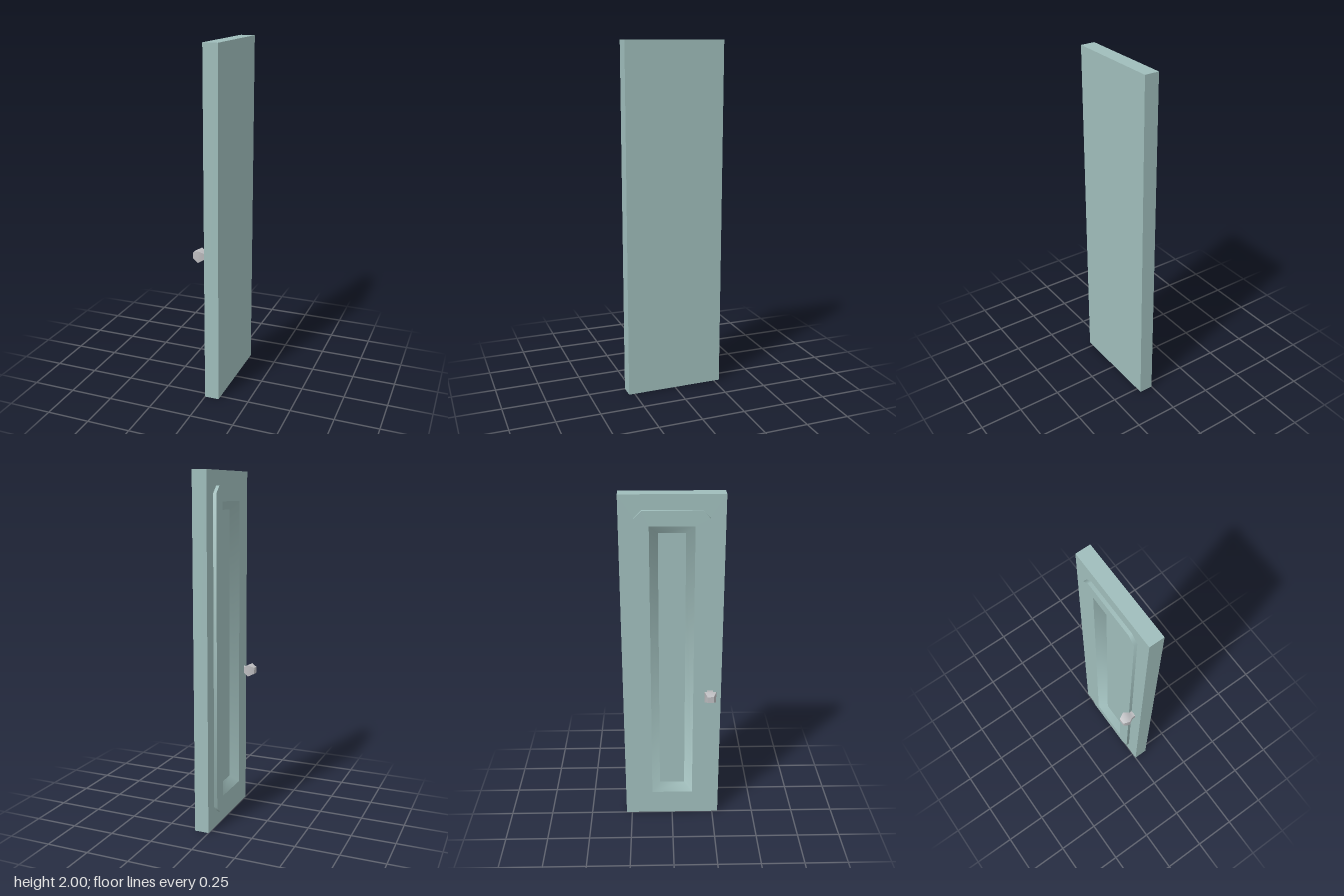
import * as THREE from 'three';

const teal = new THREE.MeshStandardMaterial({ name: 'greyTeal', color: 0x9fbdbb });
const grey = new THREE.MeshStandardMaterial({ name: 'knobGrey', color: 0xbdbdc0 });

const H = 2, D = 0.568, T = 0.083;   // slab height, depth (z) and thickness (x)
const RECESS = 0.023, RAISE = 0.019; // panel floor depth and moulding height
const SLOPE = 0.047;                 // inset of the floor from the moulding's inner lip

// Rectangle with optional cut corners, counter-clockwise, around the middle of the door
function outline(w, h, c) {
  const pts = c
    ? [[-w + c, -h], [w - c, -h], [w, -h + c], [w, h - c], [w - c, h], [-w + c, h], [-w, h - c], [-w, -h + c]]
    : [[-w, -h], [w, -h], [w, h], [-w, h]];
  return pts.map(([x, y]) => new THREE.Vector2(x, y + H / 2));
}

// Flat face, with an optional opening
function face(outer, inner) {
  const shape = new THREE.Shape(outer);
  if (inner) shape.holes.push(new THREE.Path(inner));
  return new THREE.ShapeGeometry(shape);
}

// Closed band of wall between two outlines, shaded evenly round the corners
function wall(low, z0, high, z1) {
  const n = low.length, pos = [], normals = [], index = [];
  const a = low.map((p) => new THREE.Vector3(p.x, p.y, z0));
  const b = high.map((p) => new THREE.Vector3(p.x, p.y, z1));
  const sides = a.map((p, i) => a[(i + 1) % n].clone().sub(p).cross(b[i].clone().sub(p)).normalize());
  for (let i = 0; i < n; i++) {
    const normal = sides[i].clone().add(sides[(i + n - 1) % n]).normalize();
    pos.push(...a[i], ...b[i]);
    normals.push(...normal, ...normal);
    const p = 2 * i, q = 2 * ((i + 1) % n);
    index.push(p, q, q + 1, p, q + 1, p + 1);
  }
  const geo = new THREE.BufferGeometry();
  geo.setAttribute('position', new THREE.Float32BufferAttribute(pos, 3));
  geo.setAttribute('normal', new THREE.Float32BufferAttribute(normals, 3));
  geo.setIndex(index);
  return geo;
}

export function createModel() {
  const door = new THREE.Group();
  door.name = 'door';

  const add = (name, geo) => {
    const mesh = new THREE.Mesh(geo, teal);
    mesh.name = name;
    door.add(mesh);
  };
  // Parts drawn flat in x/y are turned to face -x, raised by z
  const addPanel = (name, geo, z = 0) => add(name, geo.translate(0, 0, z).rotateY(-Math.PI / 2));

  const edge = outline(D / 2, H / 2, 0);
  const rim = outline(0.202, 0.918, 0.042);
  const lip = outline(0.122, 0.836, 0);
  const floor = outline(0.122 - SLOPE, 0.836 - SLOPE, 0);

  // Slab: a box whose -x side is replaced by a face open behind the moulding
  const slab = new THREE.BoxGeometry(T, H, D).translate(T / 2, H / 2, 0);
  const index = Array.from(slab.index.array);
  index.splice(6, 6);
  slab.setIndex(index);
  slab.clearGroups();
  add('slab', slab);
  addPanel('slabInnerFace', face(edge, rim));

  // Raised moulding and the sunken panel with sloping sides inside it
  addPanel('mouldingFace', face(rim, lip), RAISE);
  addPanel('mouldingOuterWall', wall(rim, 0, rim, RAISE));
  addPanel('recessSlope', wall([...floor].reverse(), -RECESS, [...lip].reverse(), RAISE));
  addPanel('recessFloor', face(floor), -RECESS);

  // Square knob: four sides, each smooth along its length, with a crisp end cap
  const profile = [[0.0175, 0], [0.0175, 0.019], [0.034, 0.05], [0.018, 0.084], [0.018, 0.084], [0, 0.084]]
    .map(([r, y]) => new THREE.Vector2(r * Math.SQRT2, y));
  const knob = new THREE.Group();
  knob.name = 'knob';
  for (let i = 0; i < 4; i++) {
    const geo = new THREE.LatheGeometry(profile, 1, Math.PI / 4 + i * Math.PI / 2, Math.PI / 2);
    geo.computeVertexNormals();
    const side = new THREE.Mesh(geo.rotateZ(Math.PI / 2), grey);
    side.name = 'knobSide';
    knob.add(side);
  }
  knob.position.set(0, 0.842, 0.219);
  door.add(knob);

  return door;
}
